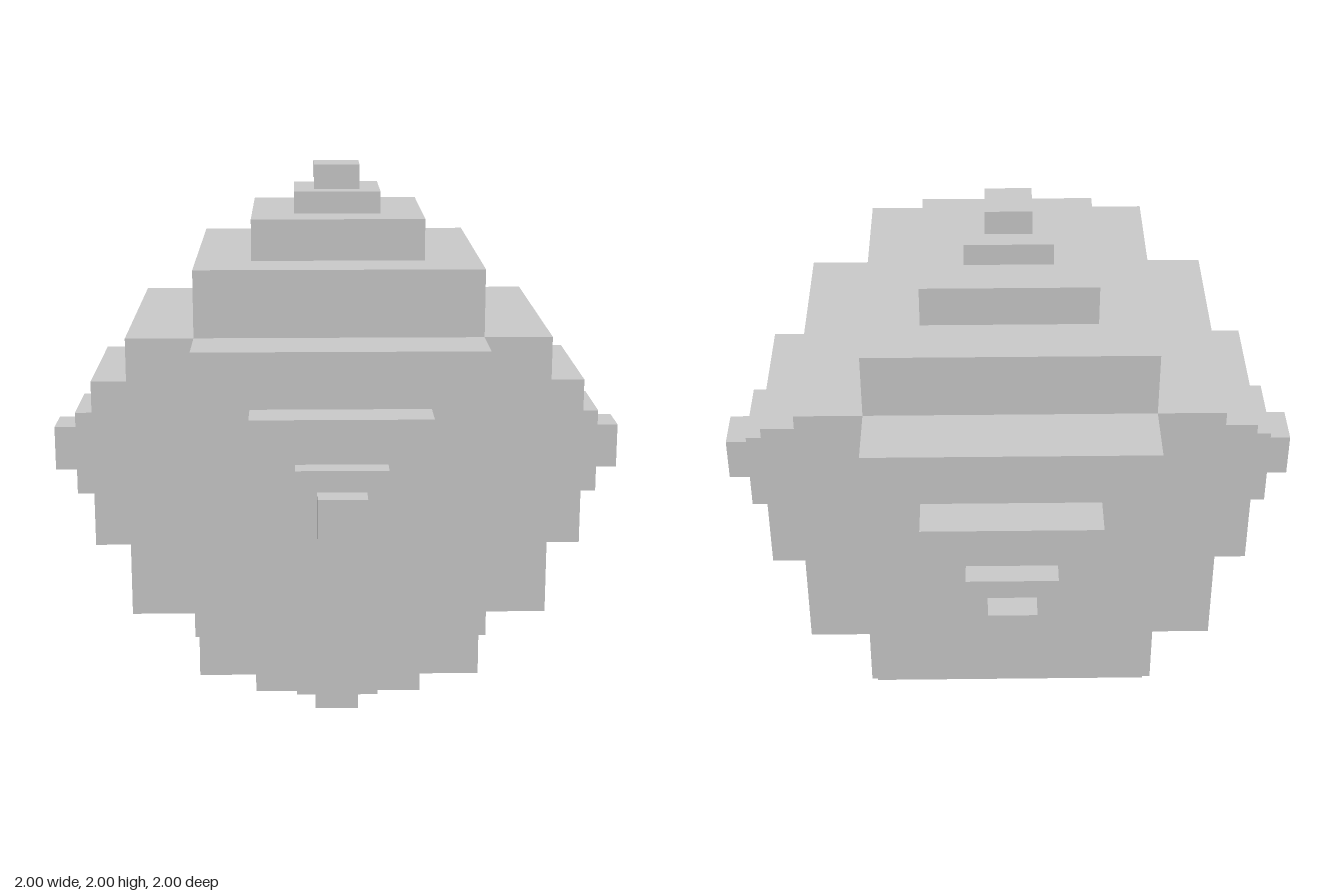
import * as THREE from 'three';

// Half-width of each square step and the distance from the centre it reaches
const CORE = 0.478;
const STEPS = [
  { name: 'baseStep', half: CORE, reach: 0.703 },
  { name: 'middleStep', half: 0.291, reach: 0.842 },
  { name: 'upperStep', half: 0.147, reach: 0.917 },
  { name: 'tipStep', half: 0.078, reach: 1 },
];

// Each arm is modelled along +y, then turned to its side
const ARMS = {
  topArm: [0, 1, 0],
  bottomArm: [0, -1, 0],
  leftArm: [1, 0, 0],
  rightArm: [-1, 0, 0],
  frontArm: [0, 0, 1],
  backArm: [0, 0, -1],
};

export function createModel() {
  const model = new THREE.Group();
  model.name = 'steppedStar';
  const material = new THREE.MeshStandardMaterial({ color: 0xcccccc, flatShading: true });

  // Central cube
  const core = new THREE.Mesh(new THREE.BoxGeometry(2 * CORE, 2 * CORE, 2 * CORE), material);
  core.name = 'coreCube';
  core.position.y = 1;
  model.add(core);

  // Six stepped pyramids, one per cube face
  const up = new THREE.Vector3(0, 1, 0);
  for (const [name, direction] of Object.entries(ARMS)) {
    const arm = new THREE.Group();
    arm.name = name;
    let start = CORE;
    for (const { name: stepName, half, reach } of STEPS) {
      const step = new THREE.Mesh(new THREE.BoxGeometry(2 * half, reach - start, 2 * half), material);
      step.name = stepName;
      step.position.y = (start + reach) / 2;
      arm.add(step);
      start = reach;
    }
    arm.quaternion.setFromUnitVectors(up, new THREE.Vector3(...direction));
    arm.position.y = 1;
    model.add(arm);
  }
  return model;
}
